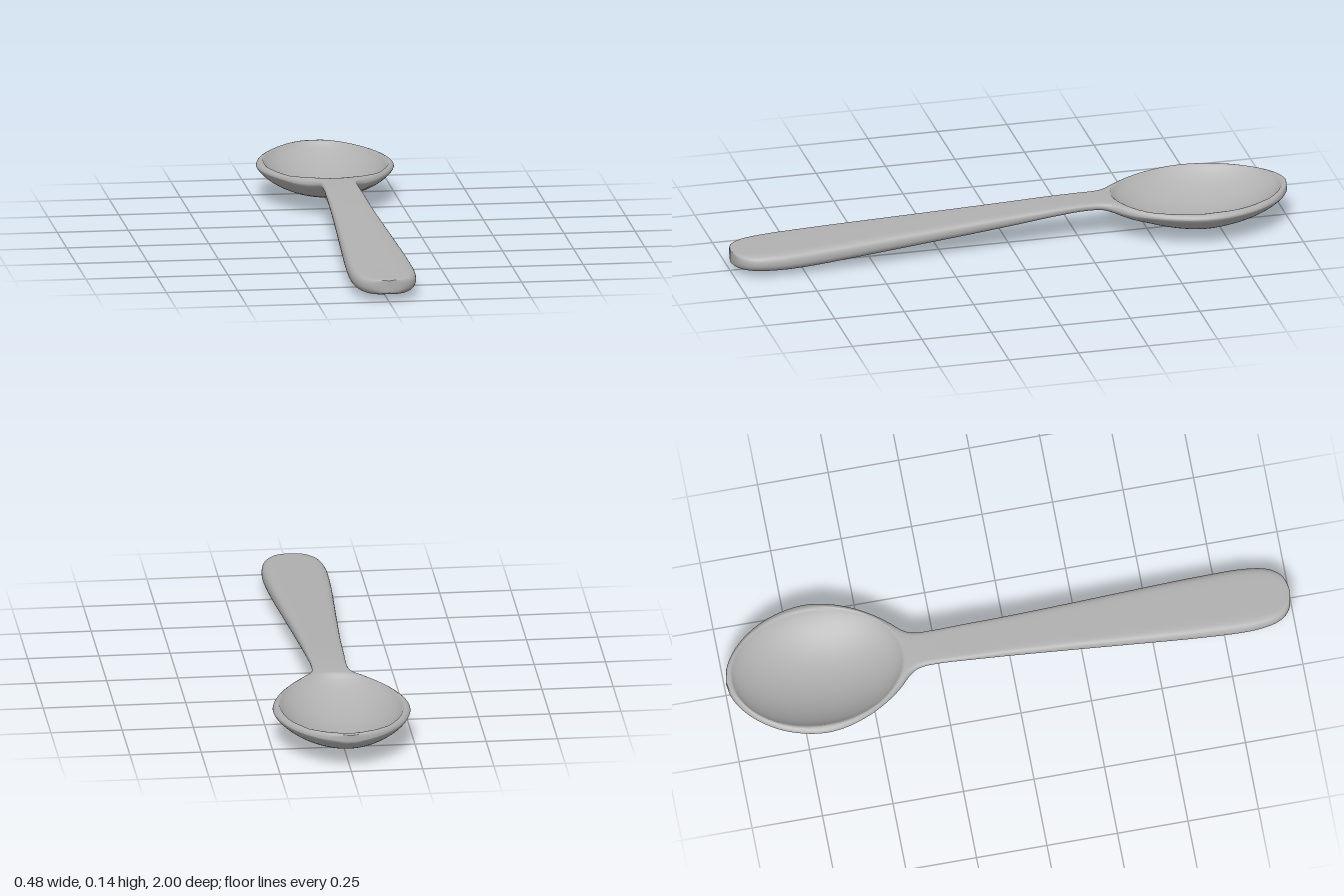
import * as THREE from 'three';

// Stations along the spoon: z, half width, top height, bottom height
const STATIONS = [
  [1, 0, 0.076, 0.034], [0.99, 0.05, 0.079, 0.028], [0.965, 0.083, 0.081, 0.021],
  [0.92, 0.104, 0.084, 0.017], [0.84, 0.114, 0.088, 0.015], [0.74, 0.113, 0.093, 0.018],
  [0.6, 0.107, 0.1, 0.029], [0.4, 0.095, 0.11, 0.046], [0.2, 0.083, 0.12, 0.063],
  [0, 0.072, 0.13, 0.082], [-0.15, 0.066, 0.137, 0.099], [-0.25, 0.062, 0.14, 0.107],
  [-0.32, 0.065, 0.14, 0.106], [-0.36, 0.083, 0.139, 0.096], [-0.4, 0.121, 0.138, 0.08],
  [-0.45, 0.16, 0.138, 0.06], [-0.52, 0.2, 0.138, 0.037], [-0.6, 0.229, 0.138, 0.019],
  [-0.68, 0.24, 0.138, 0.011], [-0.76, 0.23, 0.138, 0.017], [-0.84, 0.202, 0.138, 0.032],
  [-0.91, 0.157, 0.138, 0.053], [-0.96, 0.106, 0.138, 0.077], [-0.99, 0.052, 0.137, 0.098],
  [-1, 0, 0.134, 0.11],
];

// Smooth curve through one column of the table
function sample(t, column) {
  const last = STATIONS.length - 1;
  const i = Math.min(Math.floor(t), last - 1), f = t - i;
  const at = (k) => STATIONS[Math.min(Math.max(k, 0), last)][column];
  const [p0, p1, p2, p3] = [at(i - 1), at(i), at(i + 1), at(i + 2)];
  const m1 = (p2 - p0) / 2, m2 = (p3 - p1) / 2;
  return p1 + f * (m1 + f * (3 * (p2 - p1) - 2 * m1 - m2 + f * (2 * (p1 - p2) + m1 + m2)));
}

// Depth of the hollow in the bowl
function hollow(x, z) {
  const r2 = (x / 0.216) ** 2 + ((z + 0.677) / 0.302) ** 2;
  return r2 < 1 ? 0.103 * (1 - r2) ** 0.75 : 0;
}

function spoonGeometry() {
  const perSpan = 6, around = 96;
  const rows = (STATIONS.length - 1) * perSpan;
  const positions = [], index = [];
  for (let i = 0; i <= rows; i++) {
    const t = i / perSpan;
    const z = sample(t, 0), w = Math.max(sample(t, 1), 0);
    const top = sample(t, 2), bottom = sample(t, 3);
    // 0 on the handle, 1 on the bowl
    const bowl = THREE.MathUtils.smoothstep(-z, 0.25, 0.5);
    const edge = THREE.MathUtils.lerp((top + bottom) / 2 + 0.005, Math.max(top - 0.023, bottom + 0.008), bowl);
    const power = THREE.MathUtils.lerp(4, 2, bowl);
    const round = THREE.MathUtils.lerp(0.45, 0.75, bowl);
    for (let j = 0; j < around; j++) {
      const a = (j / around) * Math.PI * 2;
      const s = -Math.cos(a), under = j <= around / 2;
      const q = Math.min(Math.abs(s), 1), x = s * w;
      const y = under
        ? edge - (edge - bottom) * (1 - q ** power) ** round
        : edge + (top - edge) * (1 - q ** 9) ** 0.5 - hollow(x, z);
      positions.push(x, y, z);
    }
  }
  for (let i = 0; i < rows; i++) {
    for (let j = 0; j < around; j++) {
      const k = (j + 1) % around;
      const a = i * around + j, b = i * around + k;
      const c = a + around, d = b + around;
      index.push(a, c, b, b, c, d);
    }
  }
  const geometry = new THREE.BufferGeometry();
  geometry.setAttribute('position', new THREE.Float32BufferAttribute(positions, 3));
  geometry.setIndex(index);
  geometry.computeVertexNormals();
  return geometry;
}

export function createModel() {
  const group = new THREE.Group();
  group.name = 'spoon';
  const grey = new THREE.MeshStandardMaterial({ color: 0xb0b0b0 });
  grey.name = 'grey';

  // Bowl and handle in one piece
  const body = new THREE.Mesh(spoonGeometry(), grey);
  body.name = 'bowlAndHandle';
  group.add(body);

  // Rounded rib under the handle
  const start = new THREE.Vector3(0, 0.021, 0.74), end = new THREE.Vector3(0, 0.076, 0.11);
  const along = end.clone().sub(start);
  const rib = new THREE.Mesh(new THREE.CapsuleGeometry(0.02, along.length(), 8, 20), grey);
  rib.name = 'handleRib';
  rib.position.copy(start).add(end).multiplyScalar(0.5);
  rib.quaternion.setFromUnitVectors(new THREE.Vector3(0, 1, 0), along.normalize());
  group.add(rib);

  return group;
}
